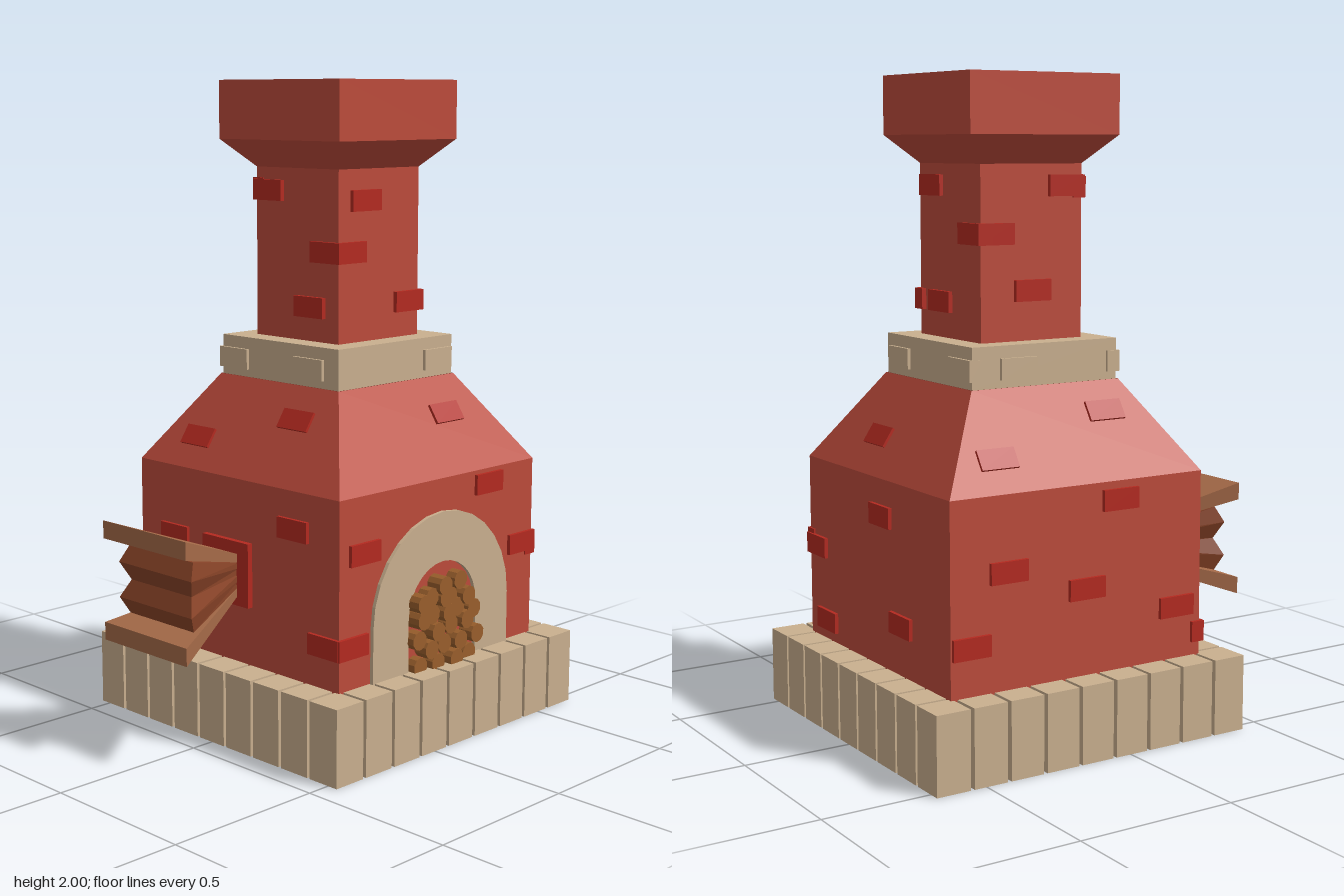
import * as THREE from 'three';

const mat = (name, color) => {
  const m = new THREE.MeshStandardMaterial({ color, flatShading: true, side: THREE.DoubleSide });
  m.name = name;
  return m;
};

export function createModel() {
  const clay = mat('red clay', 0xbd4b3b);
  const brickRed = mat('bright brick', 0xb42a20);
  const stone = mat('tan stone', 0xcab08f);
  const logWood = mat('log wood', 0x9a5f2c);
  const plateWood = mat('plate wood', 0xa56a48);
  const leather = mat('bellows leather', 0x8a4428);

  const model = new THREE.Group();
  model.name = 'brickFurnace';
  // everything but the bellows is centred on the furnace axis
  const furnace = new THREE.Group();
  furnace.name = 'furnace';
  furnace.position.z = -0.12;
  model.add(furnace);

  const add = (parent, name, geo, material, x = 0, y = 0, z = 0) => {
    const m = new THREE.Mesh(geo, material);
    m.name = name;
    m.position.set(x, y, z);
    parent.add(m);
    return m;
  };

  // square shell from a half-width / height profile
  const squareLathe = (pts) => new THREE.LatheGeometry(
    pts.map(([r, y]) => new THREE.Vector2(r * Math.SQRT2, y)), 4, Math.PI / 4);

  add(furnace, 'body', squareLathe([[0.442, 0.22], [0.442, 0.81], [0.26, 1.085]]), clay);
  add(furnace, 'collar', new THREE.BoxGeometry(0.51, 0.125, 0.51), stone, 0, 1.147, 0);
  add(furnace, 'chimney', squareLathe([[0.178, 1.2], [0.178, 1.735], [0.26, 1.82],
    [0.26, 2], [0.163, 2], [0.163, 1.2]]), clay);

  // ring of foundation stones
  const N = 9;
  for (let i = 0; i < N; i++) for (let j = 0; j < N; j++) {
    if (i % (N - 1) && j % (N - 1)) continue;
    add(furnace, 'baseStone', new THREE.BoxGeometry(0.109, 0.236, 0.11), stone,
      -0.48 + i * 0.12, 0.118, -0.487 + j * 0.1222);
  }

  // one frame per side: local x runs along the wall, local z points outward
  const sides = {};
  ['front', 'right', 'back', 'left'].forEach((n, i) => {
    const g = new THREE.Group();
    g.name = n + 'Bricks';
    g.rotation.y = i * Math.PI / 2;
    furnace.add(g);
    sides[n] = g;
  });

  // proud bricks: [u, y] lists for wall, slope, chimney and collar
  const layout = {
    front: {
      wall: [[-0.275, 0.59], [-0.39, 0.31], [0.255, 0.695], [0.385, 0.365]],
      slope: [[-0.23, 0.9], [0.145, 0.99]],
      chimney: [[-0.12, 1.665], [0.13, 1.485], [0.06, 1.315]],
      collar: [[-0.205, 1.14], [0.135, 1.14]],
    },
    right: {
      wall: [[-0.34, 0.64], [0.22, 0.765], [-0.39, 0.365], [0.385, 0.545]],
      slope: [[0.145, 0.98]],
      chimney: [[-0.065, 1.64], [-0.13, 1.485], [0.13, 1.32]],
      collar: [[0.19, 1.14]],
    },
    back: {
      wall: [[-0.385, 0.53], [0.04, 0.7], [0.16, 0.39], [-0.32, 0.3]],
      slope: [[-0.095, 0.915]],
      chimney: [[-0.1, 1.67], [0.13, 1.53], [-0.05, 1.32]],
      collar: [[-0.18, 1.14], [0.2, 1.14]],
    },
    left: {
      wall: [[0.14, 0.755], [-0.25, 0.585], [-0.375, 0.38], [0.02, 0.5], [0.35, 0.4]],
      slope: [[-0.25, 0.9], [0.17, 1.0]],
      chimney: [[0.12, 1.67], [-0.13, 1.53], [0, 1.36]],
      collar: [[-0.1, 1.14]],
    },
  };
  const brickGeo = new THREE.BoxGeometry(0.125, 0.064, 0.045);
  const tilt = Math.atan2(0.182, 0.275);
  for (const [n, rows] of Object.entries(layout)) {
    const g = sides[n];
    rows.wall.forEach(([u, y]) => add(g, 'wallBrick', brickGeo, brickRed, u, y, 0.431));
    rows.chimney.forEach(([u, y]) => add(g, 'chimneyBrick', brickGeo, brickRed, u, y, 0.169));
    rows.collar.forEach(([u, y]) => add(g, 'collarBrick', brickGeo, stone, u * 0.97, y, 0.242));
    rows.slope.forEach(([u, y]) => {
      const d = 0.442 - 0.182 * (y - 0.81) / 0.275;
      const b = add(g, 'slopeBrick', brickGeo, brickRed, u,
        y - 0.014 * Math.sin(tilt), d - 0.014 * Math.cos(tilt));
      b.rotation.x = -tilt;
    });
  }

  // arched fire opening on the right wall
  const fire = sides.right;
  const arch = new THREE.Shape();
  arch.moveTo(0.31, 0.1);
  arch.lineTo(0.31, 0.4);
  arch.absarc(0, 0.4, 0.31, 0, Math.PI, false);
  arch.lineTo(-0.31, 0.1);
  arch.lineTo(-0.155, 0.1);
  arch.lineTo(-0.155, 0.4);
  arch.absarc(0, 0.4, 0.155, Math.PI, 0, true);
  arch.lineTo(0.155, 0.1);
  arch.closePath();
  add(fire, 'fireArch', new THREE.ExtrudeGeometry(arch,
    { depth: 0.05, bevelEnabled: false, curveSegments: 7 }), stone, 0, 0, 0.404);
  add(fire, 'firebox', new THREE.BoxGeometry(0.31, 0.33, 0.38), clay, 0, 0.235, 0.252);

  // stacked logs, end on
  const logs = [[-0.12, 0.25], [-0.05, 0.25], [0.025, 0.25], [0.1, 0.25],
    [-0.085, 0.3], [-0.01, 0.3], [0.055, 0.3], [0.12, 0.31], [-0.13, 0.335], [-0.055, 0.35],
    [0.02, 0.355], [0.085, 0.36], [-0.125, 0.4], [-0.07, 0.405], [-0.005, 0.4], [0.05, 0.405],
    [0.115, 0.39], [-0.125, 0.45], [-0.075, 0.46], [-0.02, 0.45], [0.015, 0.445],
    [0.09, 0.435], [-0.03, 0.49], [0.055, 0.49]];
  const logGeo = new THREE.CylinderGeometry(0.03, 0.03, 0.12, 10).rotateX(Math.PI / 2);
  logs.forEach(([u, y], i) =>
    add(fire, 'log', logGeo, logWood, u, y, 0.413 + ((i * 7) % 5) * 0.005));

  // bellows: layers fanning out from a narrow hinge at the front wall
  const bellows = new THREE.Group();
  bellows.name = 'bellows';
  bellows.position.x = -0.028;
  model.add(bellows);
  const layer = (name, material, low, high) => {
    const g = new THREE.BoxGeometry(1, 1, 1);
    const p = g.attributes.position;
    for (let i = 0; i < p.count; i++) {
      const [y, z, w, hinge] = p.getY(i) > 0 ? high : low;
      const far = p.getZ(i) > 0;
      p.setXYZ(i, Math.sign(p.getX(i)) * (far ? w : 0.045), far ? y : hinge, far ? z : 0.32);
    }
    g.computeVertexNormals();
    add(bellows, name, g, material);
  };
  const mid = 0.515;
  for (const s of [1, -1]) {
    const at = (dy, z, w, hinge) => [mid + s * dy, z, w, mid + s * hinge];
    const pair = (name, m, a, b) => (s > 0 ? layer(name, m, a, b) : layer(name, m, b, a));
    pair('bellowsPlate', plateWood, at(0.13, 0.66, 0.1875, 0.035), at(0.185, 0.66, 0.1875, 0.06));
    pair('bellowsPleat', leather, at(0.055, 0.62, 0.165, 0.018), at(0.105, 0.595, 0.145, 0.036));
    pair('bellowsPleat', leather, at(0, 0.595, 0.137, 0), at(0.055, 0.62, 0.165, 0.018));
  }
  add(bellows, 'bellowsMount', new THREE.BoxGeometry(0.205, 0.2, 0.03), brickRed, 0, 0.52, 0.325);

  return model;
}
